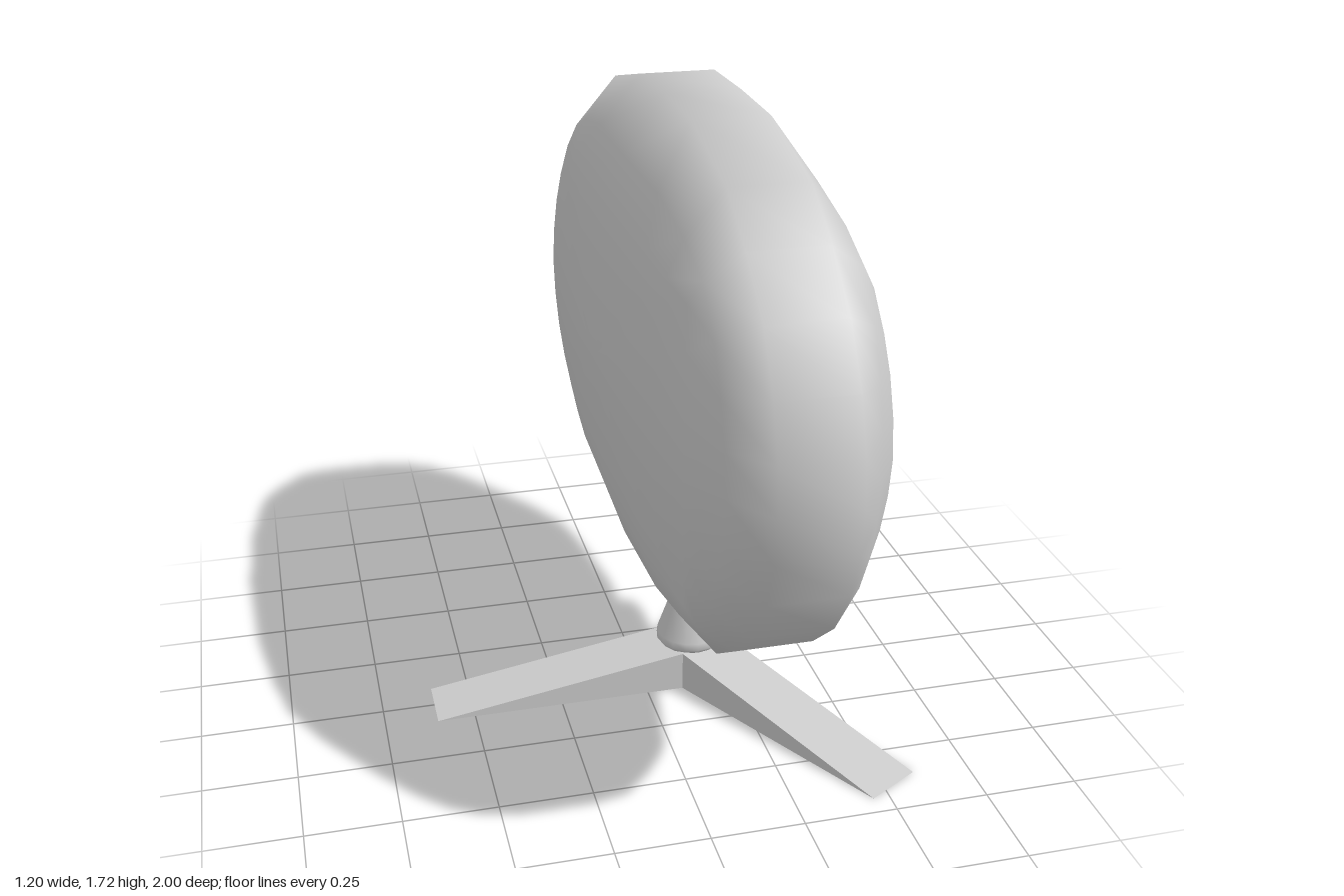
import * as THREE from 'three';
import { mergeVertices } from 'three/addons/utils/BufferGeometryUtils.js';

const CY = 1.03; // height of the screen centre
const material = new THREE.MeshStandardMaterial({ color: 0xcccccc });
const thin = new THREE.MeshStandardMaterial({ color: 0xcccccc, side: THREE.DoubleSide });

function add(parent, name, geometry, mat = material) {
  const mesh = new THREE.Mesh(geometry, mat);
  mesh.name = name;
  parent.add(mesh);
  return mesh;
}

// Mirrors a quarter outline of [z, y] points (top to side) into a closed loop
function fullLoop(quarter) {
  const lower = quarter.slice(0, -1).reverse().map(([z, y]) => [z, -y]);
  const half = [...quarter, ...lower];
  const other = half.slice(1, -1).reverse().map(([z, y]) => [-z, y]);
  return [...half, ...other];
}

// Skins a list of closed rings of Vector3
function loft(rings) {
  const n = rings[0].length, index = [];
  for (let i = 0; i < rings.length - 1; i++) {
    for (let j = 0; j < n; j++) {
      const a = i * n + j, b = i * n + (j + 1) % n;
      index.push(a, a + n, b, b, a + n, b + n);
    }
  }
  const geometry = new THREE.BufferGeometry().setFromPoints(rings.flat());
  geometry.setIndex(index);
  geometry.computeVertexNormals();
  return geometry;
}

const outer = fullLoop([[0, .69], [.25, .685], [.56, .61], [.71, .51], [.85, .39], [.94, .25], [.985, .12], [1, 0]]);
const opening = fullLoop([[0, .42], [.38, .415], [.53, .4], [.67, .385], [.715, .29], [.745, .2], [.765, .1], [.775, 0]]);

// The front edge falls back a little toward the corners
const frontX = (z, y) => .41 - .03 * (Math.min(Math.abs(z) / .67, 1) * Math.min(Math.abs(y) / .385, 1)) ** 2;
// The shoulder is full at top and bottom, straight at the sides
const shoulderX = (z) => .368 - .028 * Math.abs(z);
// The back mirrors the front
const mirrored = (rule) => (z, y) => .32 - rule(z, y);
const backX = mirrored(frontX);

const ring = (loop, x) => loop.map(([z, y]) =>
  new THREE.Vector3(typeof x === 'function' ? x(z, y) : x, CY + y, z));

function makeHousing() {
  const group = new THREE.Group();
  group.name = 'housing';
  const middle = opening.map(([z, y], i) => [z + (outer[i][0] - z) * .45, y + (outer[i][1] - y) * .45]);
  const frontRing = ring(opening, frontX);

  // Rounded shell with a shallow domed back
  const rings = [frontRing, ring(middle, shoulderX), ring(outer, .26),
    ring(outer, .06), ring(middle, mirrored(shoulderX))];
  for (const s of [1, .75, .5, .25, 0]) {
    rings.push(opening.map(([z, y]) =>
      new THREE.Vector3(-.135 + (backX(z, y) + .135) * s * s, CY + y * s, z * s)));
  }
  add(group, 'shell', loft(rings));

  // Hollow behind the screen opening
  const panelRing = ring(opening, .04);
  const panelCentre = opening.map(() => new THREE.Vector3(.04, CY, 0));
  add(group, 'innerWall', loft([panelRing, frontRing]));
  add(group, 'innerPanel', loft([panelCentre, panelRing]));
  return group;
}

// Broken glass left around the opening, as [z, y] outlines
const shards = [
  [[.67, .385], [.4, .275], [0, .135], [.38, .415]],
  [[.38, .415], [0, .28], [0, .42]],
  [[-.375, .415], [-.235, .28], [-.67, .385]],
  [[-.67, .385], [-.43, .14], [-.765, .13], [-.745, .2], [-.715, .29]],
  [[.765, .13], [.52, -.13], [.67, -.385], [.715, -.29], [.745, -.2], [.765, -.1], [.775, 0]],
  [[.38, -.415], [-.16, -.135], [-.11, -.275], [-.43, -.135], [-.73, -.26], [-.67, -.385], [-.38, -.415], [0, -.42]],
];

// The glass is set slightly back from the rim
function makeShards() {
  const group = new THREE.Group();
  group.name = 'brokenGlass';
  group.position.set(.365, CY, 0);
  for (const outline of shards) {
    const shape = new THREE.Shape(outline.map(([z, y]) => new THREE.Vector2(-z, y)));
    add(group, 'glassShard', new THREE.ShapeGeometry(shape).rotateY(Math.PI / 2), thin);
  }
  return group;
}

// Soft chamfered plate below the screen
function makeButton(parent) {
  const w = .153, h = .05, c = .035;
  const shape = new THREE.Shape([[w, h - c], [w - c, h], [c - w, h], [-w, h - c],
    [-w, c - h], [c - w, -h], [w - c, -h], [w, c - h]].map(([x, y]) => new THREE.Vector2(x, y)));
  const extruded = new THREE.ExtrudeGeometry(shape, {
    depth: .02, bevelEnabled: true, bevelThickness: .018, bevelSize: .02, bevelSegments: 2,
  });
  extruded.deleteAttribute('normal');
  extruded.deleteAttribute('uv');
  const geometry = mergeVertices(extruded);
  geometry.translate(0, 0, -.01).rotateY(Math.PI / 2);
  geometry.computeVertexNormals();
  const button = add(parent, 'controlButton', geometry);
  button.position.set(.374, .49, -.005);
  button.rotation.z = -.4;
}

function makeStand() {
  const group = new THREE.Group();
  group.name = 'stand';
  group.position.x = .15;

  // Flared neck
  const profile = [[0, .113], [.088, .113], [.097, .125], [.095, .145], [.064, .235], [.062, .25], [.062, .39]];
  const neck = add(group, 'neck', new THREE.LatheGeometry(profile.map(([r, y]) => new THREE.Vector2(r, y)), 16));
  neck.position.set(-.004, 0, -.005);

  // Three wedge legs meeting at a triangular hub
  const hub = new THREE.CylinderGeometry(.095, .095, .115, 3, 1, false, Math.PI / 2);
  add(group, 'hub', hub.translate(0, .0575, 0));
  const side = new THREE.Shape([[.0475, 0], [.755, 0], [.0475, .115]].map(([x, y]) => new THREE.Vector2(x, y)));
  for (const angle of [Math.PI / 3, Math.PI, -Math.PI / 3]) {
    const leg = new THREE.ExtrudeGeometry(side, { depth: .165, bevelEnabled: false });
    add(group, 'leg', leg.translate(0, 0, -.0825).rotateY(angle));
  }
  return group;
}

export function createModel() {
  const model = new THREE.Group();
  model.name = 'brokenTelevision';
  model.add(makeHousing(), makeShards(), makeStand());
  makeButton(model);
  return model;
}
